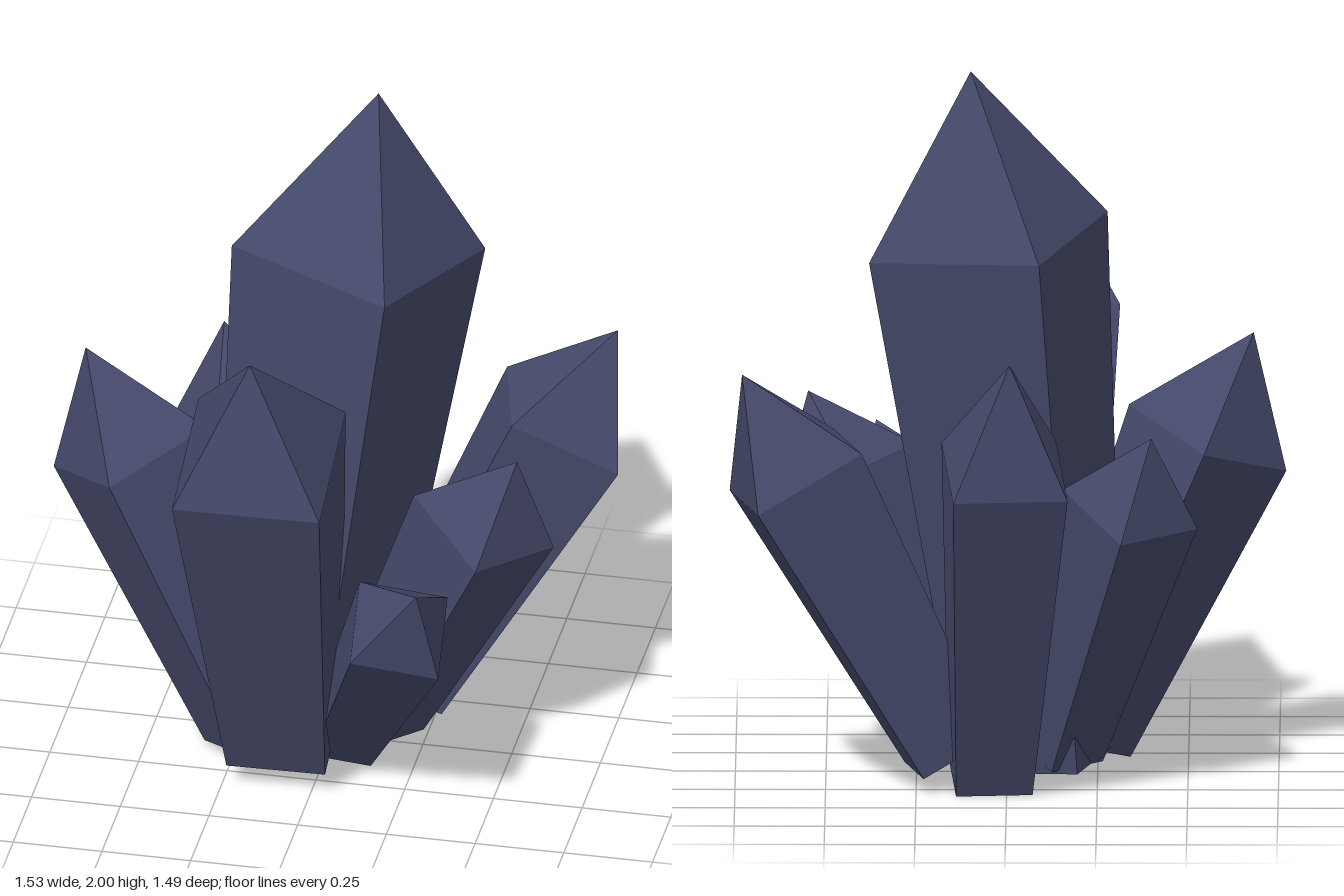
import * as THREE from 'three';

const BASE_RATIO = 0.67; // width at the foot compared with the shoulder

// Each crystal: centre of its foot, its tip, and one corner of its shoulder
const crystals = [
  ['centralCrystal', [-0.10, 0.04, 0.04], [0.10, 2.00, -0.12], [0.38, 1.48, -0.22]],
  ['frontCrystal', [-0.10, 0.11, 0.195], [-0.10, 1.56, 0.67], [0.11, 1.12, 0.74]],
  ['backCrystal', [0.045, 0.04, -0.235], [-0.01, 1.29, -0.70], [0.145, 0.91, -0.745]],
  ['rightCrystal', [-0.195, 0.08, 0.13], [-0.68, 1.22, 0.10], [-0.77, 0.83, 0.10]],
  ['leftCrystal', [0.12, 0.09, 0.0], [0.55, 1.04, 0.17], [0.638, 0.735, 0.095]],
  ['backLeftCrystal', [0.16, 0.10, -0.18], [0.73, 1.19, -0.34], [0.765, 0.83, -0.17]],
  ['backRightCrystal', [-0.14, 0.08, -0.055], [-0.40, 1.03, -0.435], [-0.527, 0.76, -0.355]],
  ['frontLeftCrystal', [0.055, 0.09, 0.13], [0.365, 0.86, 0.65], [0.18, 0.63, 0.655]],
];

// Four-sided shaft widening to a shoulder, closed by a pyramid point
function crystal(name, foot, tip, corner, material) {
  const base = new THREE.Vector3(...foot);
  const axis = new THREE.Vector3(...tip).sub(base);
  const length = axis.length();
  axis.normalize();

  // Split the corner into height along the axis and distance from it
  const out = new THREE.Vector3(...corner).sub(base);
  const shoulder = out.dot(axis);
  out.addScaledVector(axis, -shoulder);
  const radius = out.length();
  out.normalize();

  const profile = [
    [0, 0],
    [radius * BASE_RATIO, 0],
    [radius, shoulder],
    [0, length],
  ].map(([r, y]) => new THREE.Vector2(r, y));

  const side = new THREE.Vector3().crossVectors(axis, out);
  const geometry = new THREE.LatheGeometry(profile, 4);
  geometry.applyMatrix4(new THREE.Matrix4().makeBasis(side, axis, out).setPosition(base));

  const mesh = new THREE.Mesh(geometry, material);
  mesh.name = name;
  return mesh;
}

export function createModel() {
  const group = new THREE.Group();
  group.name = 'crystalCluster';
  const material = new THREE.MeshStandardMaterial({ color: 0x45496a, flatShading: true });
  for (const [name, foot, tip, corner] of crystals) {
    group.add(crystal(name, foot, tip, corner, material));
  }
  return group;
}
